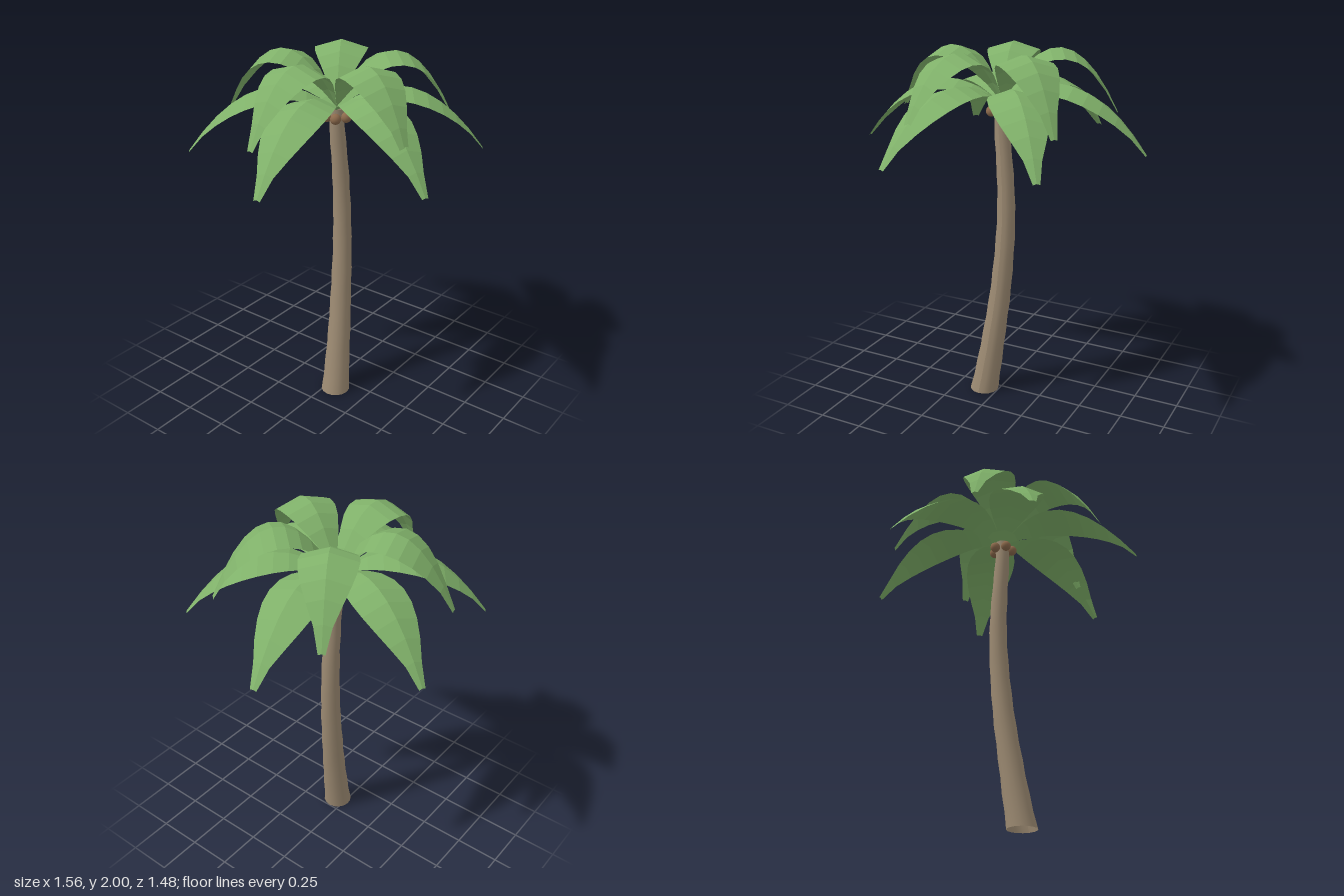
import * as THREE from 'three';

const bark = new THREE.MeshStandardMaterial({ name: 'bark', color: 0x9c8a72, side: THREE.DoubleSide });
const leaf = new THREE.MeshStandardMaterial({ name: 'leafGreen', color: 0x7fb069, side: THREE.DoubleSide, flatShading: true });
const husk = new THREE.MeshStandardMaterial({ name: 'coconutBrown', color: 0x8c6a4c });

// Leaning, tapering, slightly ringed trunk, open at both ends
function makeTrunk() {
  const height = 1.71, rows = 18;
  const spine = new THREE.CatmullRomCurve3([
    [-0.085, 0, 0.055], [-0.052, 0.2, 0.046], [-0.023, 0.4, 0.038], [0.003, 0.6, 0.028], [0.022, 0.8, 0.022],
    [0.033, 1, 0.015], [0.033, 1.2, 0.01], [0.02, 1.4, 0.007], [0.002, 1.6, 0.002], [0, height, 0],
  ].map(p => new THREE.Vector3(...p)));
  const geo = new THREE.CylinderGeometry(1, 1, 1, 16, rows, true);
  const pos = geo.attributes.position;
  for (let i = 0; i < pos.count; i++) {
    const t = pos.getY(i) + 0.5;
    const row = Math.round(t * rows);
    const c = spine.getPointAt(t);
    const r = 0.04 + 0.03 * (1 - t) + 0.012 * Math.pow(1 - t, 6) + (row % 2 ? -0.002 : 0.001);
    pos.setXYZ(i, c.x + pos.getX(i) * r, c.y, c.z + pos.getZ(i) * r);
  }
  geo.computeVertexNormals();
  const mesh = new THREE.Mesh(geo, bark);
  mesh.name = 'trunk';
  return mesh;
}

// Arched frond along +x: left edge, raised midrib and right edge per row
function frondGeometry(length, peakY, bend) {
  const rows = 10, peakR = 0.3, verts = [], index = [];
  for (let i = 0; i <= rows; i++) {
    const t = i / rows, r = t * length;
    const w = i === rows ? 0.018 : 0.147 * Math.sin(Math.PI * t);
    const y = peakY - bend * (r - peakR) ** 2;
    verts.push(r, y - 0.3 * w, -w, r, y, 0, r, y - 0.3 * w, w);
    if (i === rows) continue;
    for (let k = 0; k < 2; k++) {
      const a = i * 3 + k, b = a + 3;
      index.push(a, a + 1, b, a + 1, b + 1, b);
    }
  }
  const geo = new THREE.BufferGeometry();
  geo.setAttribute('position', new THREE.Float32BufferAttribute(verts, 3));
  geo.setIndex(index);
  geo.computeVertexNormals();
  return geo;
}

// Ring of equal fronds around the crown
function frondRing(name, count, startDeg, geo) {
  const ring = new THREE.Group();
  ring.name = name;
  for (let i = 0; i < count; i++) {
    const frond = new THREE.Mesh(geo, leaf);
    frond.name = 'frond';
    frond.rotation.y = -THREE.MathUtils.degToRad(startDeg) - (i * Math.PI * 2) / count;
    ring.add(frond);
  }
  return ring;
}

export function createModel() {
  const tree = new THREE.Group();
  tree.name = 'palmTree';
  tree.add(makeTrunk());
  tree.add(frondRing('lowerFronds', 6, -8.7, frondGeometry(0.787, 1.83, 1.46)));
  tree.add(frondRing('upperFronds', 5, -32, frondGeometry(0.635, 2, 3.15)));

  // Five coconuts tucked under the crown
  const nut = new THREE.SphereGeometry(0.029, 16, 12);
  for (let i = 0; i < 5; i++) {
    const a = THREE.MathUtils.degToRad(5 + 72 * i);
    const mesh = new THREE.Mesh(nut, husk);
    mesh.name = 'coconut';
    mesh.position.set(0.055 * Math.cos(a), 1.665, 0.055 * Math.sin(a));
    tree.add(mesh);
  }
  return tree;
}
